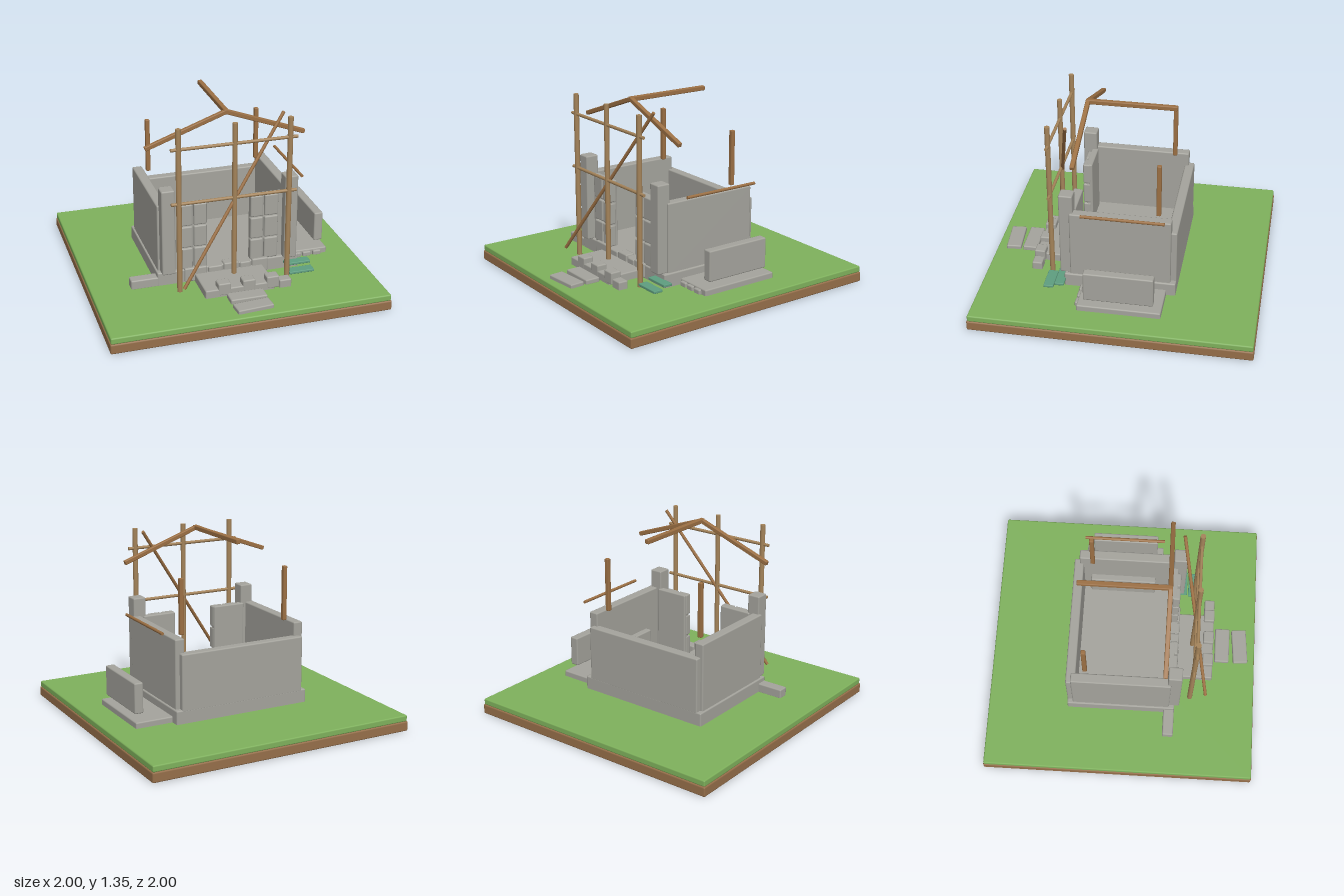
import * as THREE from 'three';
import { RoundedBoxGeometry } from 'three/addons/geometries/RoundedBoxGeometry.js';

const mat = (name, color) => {
  const m = new THREE.MeshStandardMaterial({ color });
  m.name = name;
  return m;
};

export function createModel() {
  const model = new THREE.Group();
  const stone = mat('stone', 0xa5a49d);
  const grass = mat('grass', 0x7fb25c);
  const earth = mat('earth', 0x966f4a);
  const timber = mat('timber', 0x9c7044);
  const pole = mat('pole', 0xa5845a);
  const plankGreen = mat('plank green', 0x5f9e80);

  // Softly bevelled block given by its min and max on each axis
  const block = (name, material, x0, x1, y0, y1, z0, z1) => {
    const w = x1 - x0, h = y1 - y0, d = z1 - z0;
    const r = Math.min(0.01, Math.min(w, h, d) * 0.25);
    const mesh = new THREE.Mesh(new RoundedBoxGeometry(w, h, d, 1, r), material);
    mesh.position.set((x0 + x1) / 2, (y0 + y1) / 2, (z0 + z1) / 2);
    mesh.name = name;
    model.add(mesh);
    return mesh;
  };

  // Round pole or square beam between two points
  const bar = (name, material, a, b, size, square = false) => {
    const from = new THREE.Vector3(...a), to = new THREE.Vector3(...b);
    const dir = to.clone().sub(from), len = dir.length();
    const geo = square
      ? new RoundedBoxGeometry(size, len, size, 1, size * 0.2)
      : new THREE.CylinderGeometry(size / 2, size / 2, len, 10);
    const mesh = new THREE.Mesh(geo, material);
    mesh.position.copy(from).add(to).multiplyScalar(0.5);
    mesh.quaternion.setFromUnitVectors(new THREE.Vector3(0, 1, 0), dir.normalize());
    mesh.name = name;
    model.add(mesh);
  };

  // Ground
  block('earthBase', earth, -1, 1, 0, 0.072, -1, 1);
  block('grassTop', grass, -0.995, 0.995, 0.07, 0.117, -0.995, 0.995);

  // Foundation and back wall
  block('foundation', stone, -0.525, 0.525, 0.105, 0.215, -0.4, 0.4);
  block('backWall', stone, -0.49, 0.48, 0.2, 0.615, -0.4, -0.33);

  // Mirrored side walls, corner pillars and front wall panels
  for (const s of [-1, 1]) {
    const mirrored = (name, x0, x1, ...rest) =>
      block(name, stone, Math.min(s * x0, s * x1), Math.max(s * x0, s * x1), ...rest);
    mirrored('sideWall', 0.44, 0.512, 0.2, 0.715, -0.36, 0.36);
    mirrored('cornerPillar', 0.4, 0.497, 0.21, 0.85, 0.335, 0.435);
    mirrored('frontWallPanel', 0.165, 0.42, 0.2, 0.712, 0.325, 0.375);
    for (let row = 0; row < 3; row++) {
      const y = 0.215 + row * 0.168;
      mirrored('frontWallBlock', 0.16, 0.255, y, y + 0.16, 0.34, 0.395);
      mirrored('frontWallBlock', 0.264, 0.367, y, y + 0.16, 0.34, 0.395);
    }
    bar('rearPost', timber, [s * 0.415, 0.715, -0.26], [s * 0.415, 1.115, -0.26], 0.032, true);
    bar('rafter', timber, [0, 1.337, 0.31], [s * 0.575, 1.128, 0.31], 0.032, true);
  }

  // Stones along the front sill
  [[-0.33, -0.165], [-0.155, -0.05], [-0.04, 0.07], [0.08, 0.16], [0.17, 0.29]].forEach(([a, b], i) =>
    block('sillStone', stone, a, b, 0.12, i % 2 ? 0.215 : 0.225, 0.34, 0.412));

  // Inner bench wall and side annex
  block('innerLedge', stone, 0.395, 0.45, 0.2, 0.42, -0.28, 0.21);
  block('annexFloor', stone, 0.5, 0.803, 0.105, 0.16, -0.335, 0.26);
  block('annexWall', stone, 0.718, 0.785, 0.2, 0.422, -0.28, 0.213);
  for (const x of [0.535, 0.61, 0.69])
    block('annexEdgeStone', stone, x, x + 0.065, 0.11, 0.15, 0.22, 0.28);

  // Doorstep, its edge stones and the path slabs
  block('doorstep', stone, -0.255, 0.25, 0.105, 0.175, 0.39, 0.675);
  for (const x of [-0.163, 0.015, 0.19])
    block('stepStone', stone, x, x + 0.093, 0.125, 0.215, 0.597, 0.677);
  block('looseStone', stone, 0.285, 0.375, 0.105, 0.175, 0.6, 0.675);
  block('pathSlab', stone, -0.11, 0.155, 0.11, 0.15, 0.69, 0.8);
  block('pathSlab', stone, -0.108, 0.155, 0.108, 0.145, 0.824, 0.934).rotation.y = 0.08;
  block('fallenStone', stone, -0.715, -0.51, 0.11, 0.182, 0.32, 0.4);

  // Green planks beside the step
  block('plank', plankGreen, 0.41, 0.598, 0.158, 0.178, 0.39, 0.458);
  block('plank', plankGreen, 0.41, 0.598, 0.13, 0.15, 0.468, 0.54);

  // Scaffold
  bar('scaffoldPost', pole, [-0.395, 0.115, 0.515], [-0.395, 1.33, 0.515], 0.038);
  bar('scaffoldPost', pole, [0, 0.2, 0.515], [0, 1.33, 0.515], 0.036);
  bar('scaffoldPost', pole, [0.395, 0.115, 0.515], [0.395, 1.33, 0.515], 0.038);
  for (const y of [0.785, 1.183])
    bar('scaffoldRail', pole, [-0.45, y, 0.515], [0.45, y, 0.515], 0.023);
  bar('scaffoldBrace', timber, [-0.395, 0.195, 0.63], [0.39, 1.325, 0.392], 0.024);

  // Roof ridge and loose side rail
  bar('ridgeBeam', timber, [0, 1.337, -0.325], [0, 1.337, 0.325], 0.034, true);
  bar('sideRail', timber, [0.59, 0.76, -0.325], [0.59, 0.76, 0.26], 0.022);

  return model;
}
